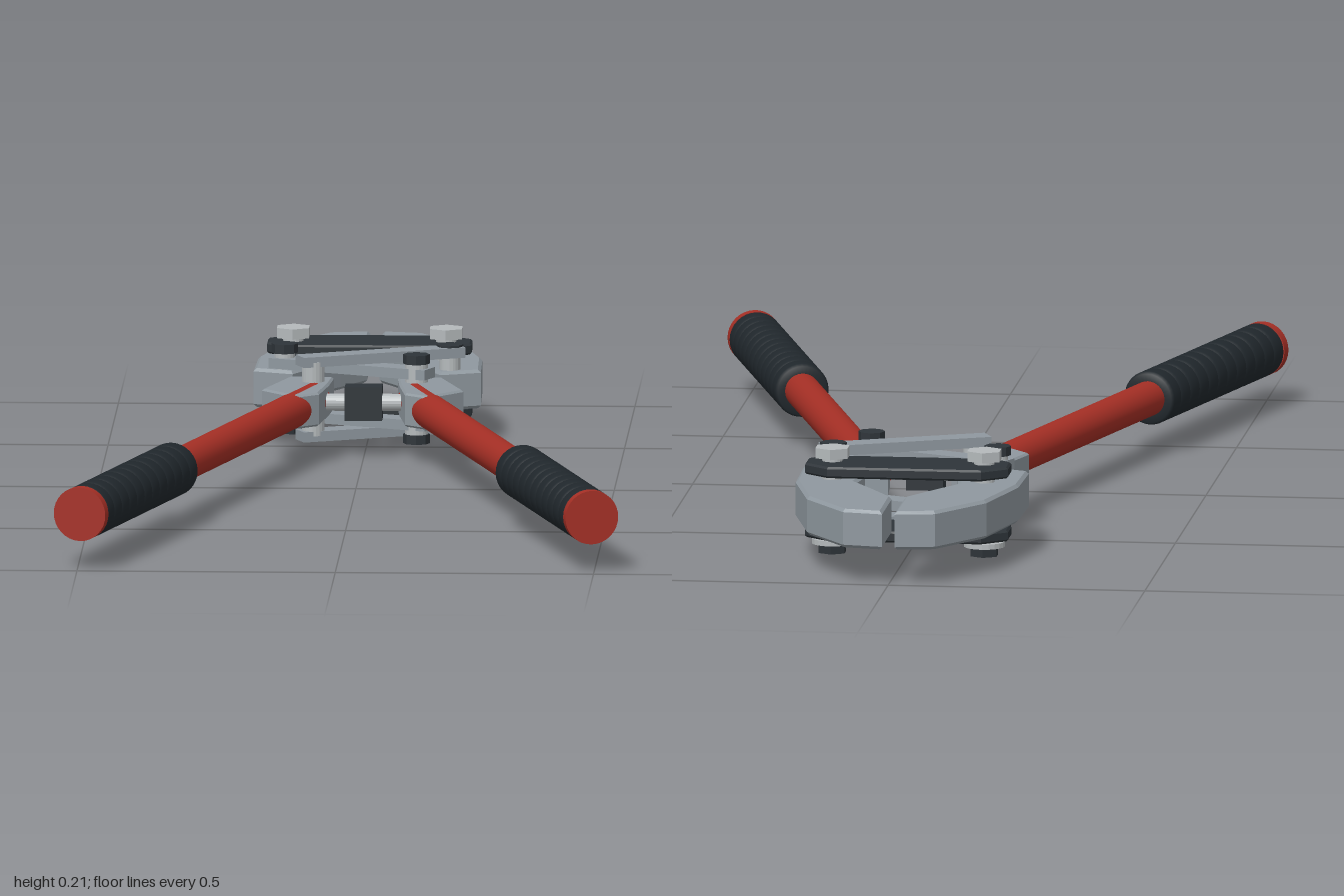
import * as THREE from 'three';

const MID = 0.107; // height of the tool's middle plane
const mat = (color, flatShading = false) => new THREE.MeshStandardMaterial({ color, flatShading });
const steel = mat(0x8f989f, true), bright = mat(0xb4b9bb, true), dark = mat(0x2e3439, true);
const red = mat(0xa52f25), rubber = mat(0x20272c);

export function createModel() {
  const model = new THREE.Group();

  const add = (name, geometry, material, x = 0, y = 0, z = 0, parent = model) => {
    const mesh = new THREE.Mesh(geometry, material);
    mesh.name = name;
    mesh.position.set(x, y, z);
    parent.add(mesh);
    return mesh;
  };

  // Flat plate from an outline of [x, z] points, between heights y0 and y1
  const plate = (name, points, y0, y1, material, bevel = 0.004) => {
    const shape = new THREE.Shape(points.map(([x, z]) => new THREE.Vector2(x, z)));
    const geometry = new THREE.ExtrudeGeometry(shape, {
      depth: y1 - y0 - 2 * bevel, bevelEnabled: true, bevelSegments: 1,
      bevelSize: bevel, bevelThickness: bevel, bevelOffset: -bevel,
    });
    geometry.rotateX(Math.PI / 2);
    return add(name, geometry, material, 0, y1 - bevel, 0);
  };

  // Upright cylinder between two heights
  const pin = (name, x, z, radius, y0, y1, material, sides = 20) =>
    add(name, new THREE.CylinderGeometry(radius, radius, y1 - y0, sides), material, x, (y0 + y1) / 2, z);

  const jaw = [[0.012, -1], [0.09, -0.985], [0.175, -0.86], [0.217, -0.69], [0.22, -0.545],
    [0.143, -0.513], [0.09, -0.62], [0.1, -0.69], [0.06, -0.755], [0.012, -0.84]];
  const socket = [[0.062, -0.48], [0.148, -0.485], [0.195, -0.333], [0.127, -0.252],
    [0.083, -0.29], [0.068, -0.4]];

  for (const s of [1, -1]) {
    const side = s > 0 ? 'left' : 'right';
    const mirror = (points) => points.map(([x, z]) => [s * x, z]);

    plate(side + 'Jaw', mirror(jaw), MID - 0.038, MID + 0.038, steel, 0.006);
    plate(side + 'HandleSocket', mirror(socket), MID - 0.033, MID + 0.033, steel);

    // Handle, built along its own axis with the origin at the outer end
    const handle = new THREE.Group();
    handle.name = side + 'Handle';
    handle.position.set(s * 0.496, MID, 0.976);
    handle.rotation.y = s * Math.atan(0.29);
    model.add(handle);
    const tube = new THREE.CylinderGeometry(0.034, 0.034, 1.42, 28).rotateX(Math.PI / 2);
    add('tube', tube, red, 0, 0, -0.725, handle);
    const cap = new THREE.CylinderGeometry(0.0525, 0.0525, 0.02, 32).rotateX(Math.PI / 2);
    add('endCap', cap, red, 0, 0, -0.01, handle);

    // Ribbed grip
    const ribs = 12, start = 0.018, step = 0.553 / ribs;
    const profile = [[0.03, start]];
    for (let i = 0; i < ribs; i++) {
      const y = start + i * step;
      profile.push([0.048, y], [0.0525, y + step * 0.15], [0.0525, y + step * 0.85], [0.048, y + step]);
    }
    profile.push([0.03, start + ribs * step]);
    const grip = new THREE.LatheGeometry(profile.map(([r, y]) => new THREE.Vector2(r, y)), 32);
    add('grip', grip.rotateX(-Math.PI / 2), rubber, 0, 0, 0, handle);

    // Main jaw bolt: hexagonal head above, washer and nut below
    const bx = s * 0.148, bz = -0.668;
    pin(side + 'JawBolt', bx, bz, 0.02, 0.012, 0.192, bright);
    pin(side + 'JawBoltHead', bx, bz, 0.036, 0.187, 0.207, bright, 6);
    pin(side + 'JawBoltWasher', bx, bz, 0.04, 0.018, 0.028, bright);
    pin(side + 'JawBoltNut', bx, bz, 0.029, 0, 0.018, dark, 6);

    // Pins through the link ends
    pin(side + 'JawLinkPin', s * 0.16, -0.55, 0.02, MID - 0.078, MID + 0.078, bright);
    pin(side + 'HandleLinkPin', s * 0.1, -0.428, 0.022, MID - 0.072, MID + 0.072, bright);
  }

  // Clamp plates, crossed links and their bolt heads above and below
  const octagon = [[-0.15, -0.74], [0.15, -0.74], [0.198, -0.7], [0.198, -0.645],
    [0.165, -0.612], [-0.165, -0.612], [-0.198, -0.645], [-0.198, -0.7]];
  const link = (name, s, y) => {
    const dx = 0.28, dz = 0.125;
    const bar = new THREE.BoxGeometry(Math.hypot(dx, dz) + 0.03, 0.02, 0.046);
    add(name, bar, steel, s * 0.028, y, -0.488).rotation.y = s * Math.atan2(dz, dx);
  };
  for (const v of [1, -1]) {
    const tier = v > 0 ? 'upper' : 'lower';
    const c = MID + v * 0.062;
    plate(tier + 'ClampPlate', octagon, c - 0.011, c + 0.011, dark);
    link(tier + 'OuterLink', 1, MID + v * 0.073);
    link(tier + 'InnerLink', -1, MID + v * 0.05);
    for (const [x, z] of [[0.16, -0.55], [-0.16, -0.55], [0.1, -0.428]]) {
      const y = MID + v * 0.078;
      pin(tier + 'LinkBolt', x, z, 0.026, y - 0.009, y + 0.009, dark, 8);
    }
  }

  // Stop block between the handles
  add('stopBlock', new THREE.BoxGeometry(0.072, 0.066, 0.046), dark, 0, MID, -0.38);
  const rod = new THREE.CylinderGeometry(0.017, 0.017, 0.15, 20).rotateZ(Math.PI / 2);
  add('stopRod', rod, bright, 0, MID, -0.38);

  return model;
}
